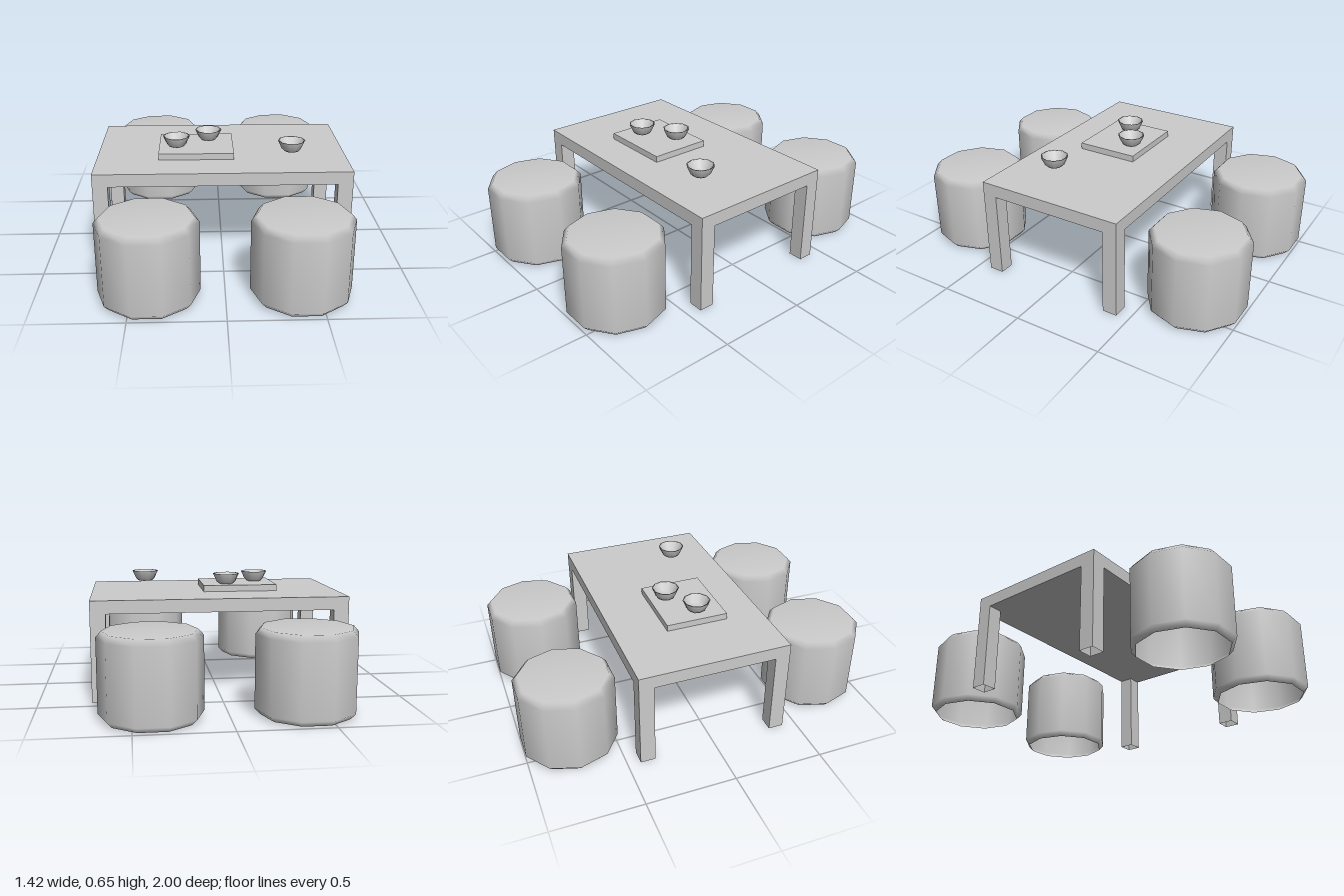
import * as THREE from 'three';

const material = new THREE.MeshStandardMaterial({ color: 0xcccccc, side: THREE.DoubleSide });

function add(parent, name, geometry, x, y, z) {
  const mesh = new THREE.Mesh(geometry, material);
  mesh.name = name;
  mesh.position.set(x, y, z);
  parent.add(mesh);
  return mesh;
}

// Ten-sided turned form with corners on the x axis
function turned(profile) {
  const points = profile.map(([r, y]) => new THREE.Vector2(r, y));
  return new THREE.LatheGeometry(points, 10, Math.PI / 2);
}

// Square leg, hollow and open at both ends
function legGeometry(width, height) {
  const g = new THREE.CylinderGeometry(width / Math.SQRT2, width / Math.SQRT2, height, 4, 1, true);
  g.rotateY(Math.PI / 4);
  const flat = g.toNonIndexed();
  flat.computeVertexNormals();
  return flat;
}

export function createModel() {
  const model = new THREE.Group();
  model.name = 'tableWithStools';

  // Table: slab top flush with four corner legs
  const table = new THREE.Group();
  table.name = 'table';
  model.add(table);
  add(table, 'tableTop', new THREE.BoxGeometry(1.424, 0.073, 0.854), 0, 0.5225, -0.002);
  const leg = legGeometry(0.084, 0.486);
  for (const sx of [-1, 1]) {
    for (const sz of [-1, 1]) add(table, 'tableLeg', leg, sx * 0.67, 0.243, sz * 0.385 - 0.002);
  }

  // Serving board
  add(model, 'servingBoard', new THREE.BoxGeometry(0.428, 0.036, 0.354), -0.146, 0.577, 0.034);

  // Bowls: outer wall, rim, then inner wall
  const bowl = turned([
    [0, 0], [0.042, 0], [0.056, 0.013], [0.078, 0.06],
    [0.07, 0.06], [0.05, 0.018], [0.036, 0.009], [0, 0.009],
  ]);
  for (const [x, z] of [[-0.26, 0.068], [-0.074, -0.047], [0.398, 0.168]]) {
    add(model, 'bowl', bowl, x, 0.595, z);
  }

  // Stools: soft drums with bevelled edges, open underneath
  const stool = turned([
    [0.242, 0.003], [0.27, 0.033], [0.27, 0.425], [0.242, 0.457], [0, 0.457],
  ]);
  for (const sx of [-1, 1]) {
    for (const sz of [-1, 1]) add(model, 'stool', stool, sx * 0.4, 0, sz * 0.743);
  }
  return model;
}
